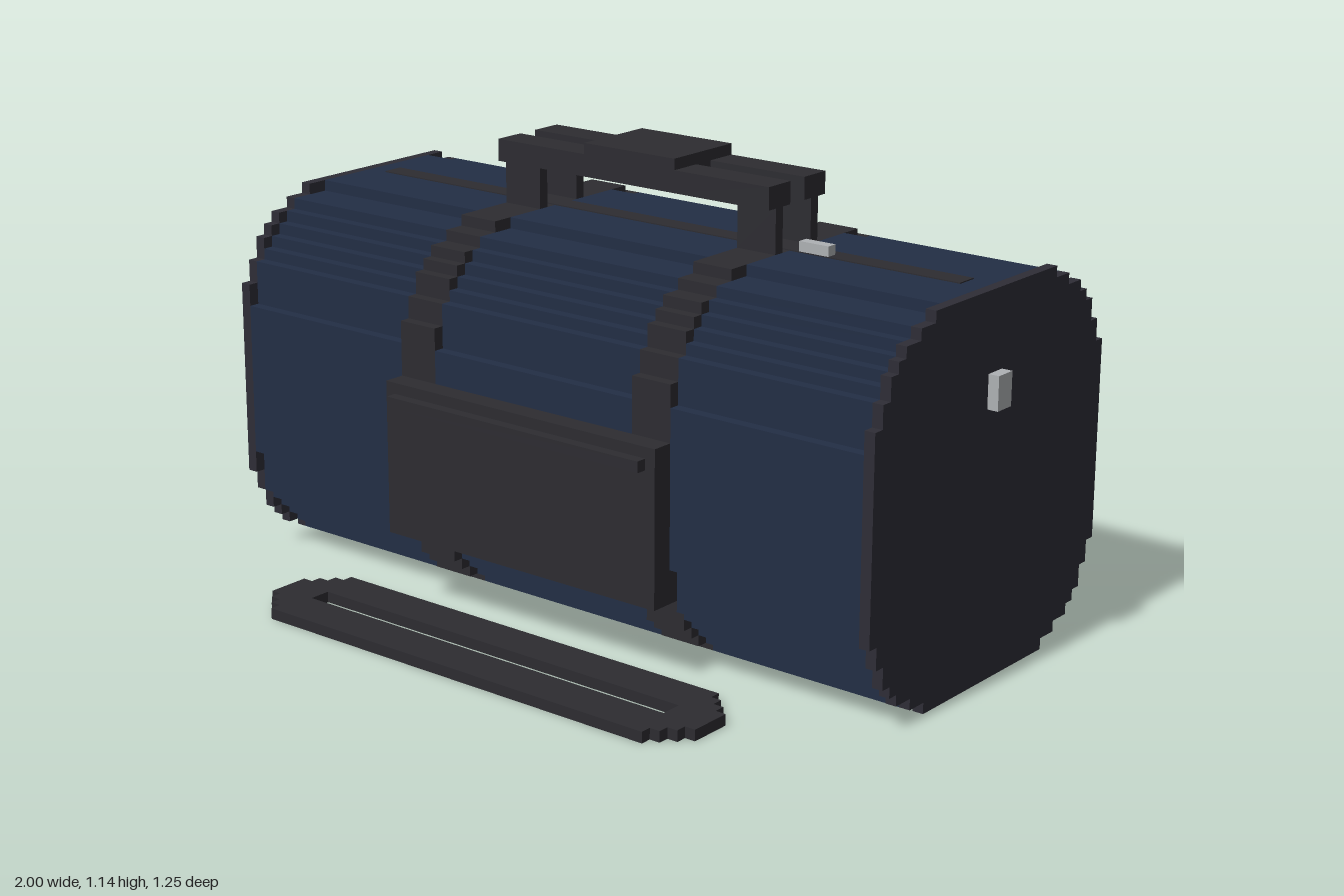
import * as THREE from 'three';

const U = 1 / 36; // one block; everything below is measured in blocks
const CY = 17, CZ = -5.5; // centre line of the bag

// Stepped corner from the right side to the top: [half width, height] treads
const OUTER = [[17, 9], [16, 11], [15, 13], [14, 14], [13, 15], [11, 16], [9, 17]];
const INNER = [[17, 7], [16, 11], [15, 12], [14, 13], [13, 14], [12, 15], [11, 16], [7, 17]];
const LOOP = [[24, 2], [23, 3], [22, 4], [21, 5]];

// Mirror a stepped corner into a closed symmetric outline
function steppedShape(treads) {
  const corner = [];
  treads.forEach(([w, h], i) => {
    if (i > 0) corner.push([w, treads[i - 1][1]]);
    corner.push([w, h]);
  });
  const back = [...corner].reverse();
  const points = [
    ...corner,
    ...back.map(([x, y]) => [-x, y]),
    ...corner.map(([x, y]) => [-x, -y]),
    ...back.map(([x, y]) => [x, -y]),
  ];
  return new THREE.Shape(points.map(([x, y]) => new THREE.Vector2(x, y)));
}

export function createModel() {
  const navy = new THREE.MeshStandardMaterial({ name: 'navy fabric', color: 0x222e45 });
  const trim = new THREE.MeshStandardMaterial({ name: 'dark webbing', color: 0x2d2c31 });
  const panel = new THREE.MeshStandardMaterial({ name: 'charcoal panel', color: 0x2e2d36 });
  const metal = new THREE.MeshStandardMaterial({ name: 'grey metal', color: 0xaeb1b4 });

  const root = new THREE.Group();
  root.name = 'duffelBag';
  const bag = new THREE.Group();
  bag.name = 'bagParts';
  bag.scale.setScalar(U);
  root.add(bag);

  function add(name, geometry, material) {
    const mesh = new THREE.Mesh(geometry, material);
    mesh.name = name;
    bag.add(mesh);
    return mesh;
  }

  // Box given by its limits on each axis
  function box(name, material, [x0, x1], [y0, y1], [z0, z1]) {
    add(name, new THREE.BoxGeometry(x1 - x0, y1 - y0, z1 - z0), material)
      .position.set((x0 + x1) / 2, (y0 + y1) / 2, (z0 + z1) / 2);
  }

  // Slice of the bag between two x positions
  function slice(name, material, treads, x0, x1) {
    const g = new THREE.ExtrudeGeometry(steppedShape(treads), { depth: x1 - x0, bevelEnabled: false });
    g.rotateY(Math.PI / 2);
    g.translate(x0, CY, CZ);
    add(name, g, material);
  }

  // Bag body, wrapping straps and end panels
  slice('bodyMiddle', navy, INNER, -11, 11);
  slice('bodyLeft', navy, INNER, 15, 34);
  slice('bodyRight', navy, INNER, -34, -15);
  slice('strapLeft', trim, OUTER, 11, 15);
  slice('strapRight', trim, OUTER, -15, -11);
  slice('endPanelLeft', panel, OUTER, 34, 35);
  slice('endPanelRight', panel, OUTER, -35, -34);

  // Top zipper and its pull
  box('topZipper', trim, [-32, 32], [33.9, 34.1], [CZ - 1, CZ + 1]);
  box('zipperPull', metal, [16, 19], [34, 35], [CZ, CZ + 1]);

  // Metal rings on the end panels
  box('ringLeft', metal, [35, 36], [24, 27], [CZ - 1, CZ + 1]);
  box('ringRight', metal, [-36, -35], [24, 27], [CZ - 1, CZ + 1]);

  // Pair of carry handles joined by a grip
  for (const side of [-1, 1]) {
    const span = (a, b) => [CZ + side * a, CZ + side * b].sort((p, q) => p - q);
    for (const x of [-15, 11]) box('handlePost', trim, [x, x + 4], [34, 38], span(2, 3));
    for (const x of [-15, 5]) box('handleBar', trim, [x, x + 10], [38, 40], span(1, 4));
  }
  box('handleGrip', trim, [-5, 5], [38, 41], [CZ - 4, CZ + 4]);

  // Front pocket and its zipper
  box('frontPocket', trim, [-15, 15], [7, 21], [10.5, 13.5]);
  box('pocketZipper', trim, [-14, 14], [19, 20], [13.5, 14.5]);

  // Shoulder strap lying on the ground in front
  const loop = steppedShape(LOOP);
  loop.holes.push(new THREE.Path([[-20, -1], [-20, 1], [20, 1], [20, -1]].map(([x, y]) => new THREE.Vector2(x, y))));
  const loopGeometry = new THREE.ExtrudeGeometry(loop, { depth: 1, bevelEnabled: false });
  loopGeometry.rotateX(-Math.PI / 2);
  loopGeometry.translate(0, 0, 17.5);
  add('shoulderStrap', loopGeometry, trim);

  return root;
}
